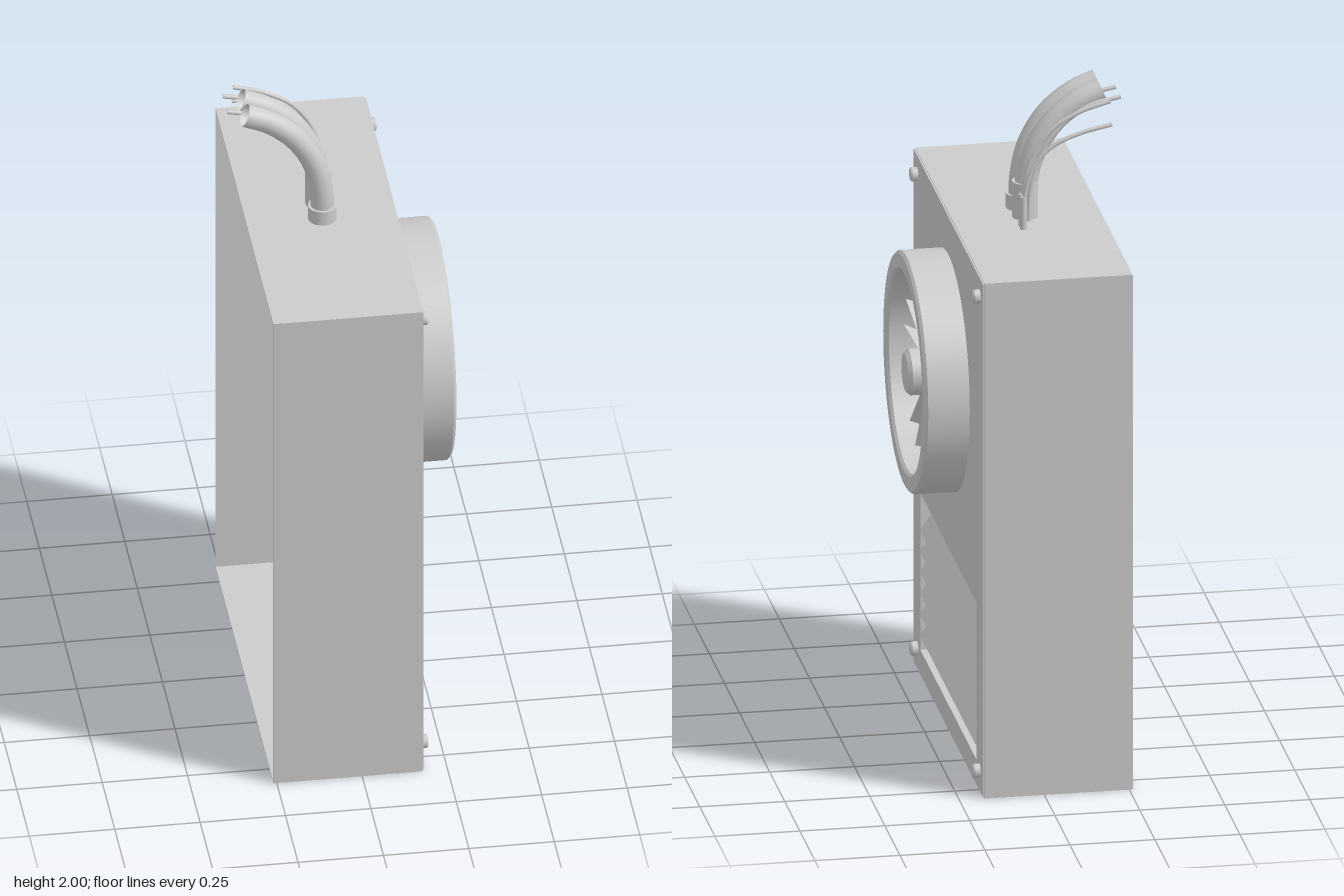
import * as THREE from 'three';

const grey = new THREE.MeshStandardMaterial({ color: 0xcccccc, side: THREE.DoubleSide });

function add(parent, name, geometry, x = 0, y = 0, z = 0) {
  const mesh = new THREE.Mesh(geometry, grey);
  mesh.name = name;
  mesh.position.set(x, y, z);
  parent.add(mesh);
  return mesh;
}

// Rectangle outline centred on z = 0, between two heights
function rect(Type, halfWidth, y0, y1) {
  const s = new Type();
  s.moveTo(-halfWidth, y0);
  s.lineTo(halfWidth, y0);
  s.lineTo(halfWidth, y1);
  s.lineTo(-halfWidth, y1);
  s.closePath();
  return s;
}

// Extrudes a shape along +x
const extrudeX = (shape, depth) =>
  new THREE.ExtrudeGeometry(shape, { depth, bevelEnabled: false, curveSegments: 48 }).rotateY(Math.PI / 2);

// Turns a [radius, x] profile around the x axis, with sharp corners between its segments
function turnX(parent, name, profile, segments, y, z = 0) {
  const group = new THREE.Group();
  group.name = name;
  for (let i = 0; i < profile.length - 1; i++) {
    const pts = [profile[i], profile[i + 1]].map(([r, x]) => new THREE.Vector2(r, x));
    add(group, name + 'Surface', new THREE.LatheGeometry(pts, segments).rotateZ(-Math.PI / 2));
  }
  group.position.set(0, y, z);
  parent.add(group);
}

function tube(parent, name, points, radius, z) {
  const curve = new THREE.CatmullRomCurve3(points.map(([x, y]) => new THREE.Vector3(x, y, z)));
  add(parent, name, new THREE.TubeGeometry(curve, 32, radius, radius > 0.02 ? 20 : 8));
}

export function createModel() {
  const model = new THREE.Group();
  model.name = 'ventilationUnit';
  const H = 1.59, W = 0.577, fanY = 1.115, face = 0.18;

  // Thin casing, open at the rear
  const frame = rect(THREE.Shape, W, 0, H);
  frame.holes.push(rect(THREE.Path, W - 0.004, 0.004, H - 0.004));
  add(model, 'casing', extrudeX(frame, 0.435), -0.26);

  // Front panel with fan and grille openings
  const panel = rect(THREE.Shape, W - 0.003, 0.003, H - 0.003);
  panel.holes.push(new THREE.Path().absarc(0, fanY, 0.35, 0, Math.PI * 2, true));
  panel.holes.push(rect(THREE.Path, 0.465, 0.08, 0.565));
  add(model, 'frontPanel', extrudeX(panel, 0.006), face - 0.006);

  // Corner screws
  for (const y of [0.065, 1.53]) {
    for (const z of [-0.517, 0.517]) {
      turnX(model, 'screw', [[0.021, 0.175], [0.021, 0.196], [0.017, 0.201], [0, 0.201]], 16, y, z);
    }
  }

  // Fan duct, closed by a disc part way back
  turnX(model, 'fanDuct', [
    [0.335, 0.14], [0.335, 0.075], [0.355, 0.075], [0.355, 0.302],
    [0.347, 0.31], [0.305, 0.31], [0.297, 0.302], [0.297, 0.14],
  ], 64, fanY);
  turnX(model, 'fanBackDisc', [[0.336, 0.14], [0, 0.14]], 64, fanY);
  turnX(model, 'fanHub', [[0.068, 0.14], [0.068, 0.296], [0.056, 0.308], [0, 0.308]], 32, fanY);

  // Pitched fan blades, widening outwards
  const blade = new THREE.PlaneGeometry(1, 1);
  const p = blade.attributes.position;
  for (let i = 0; i < 4; i++) {
    const side = Math.sign(p.getX(i)), tip = p.getY(i) > 0;
    p.setXYZ(i, 0.215 + side * (tip ? 0.05 : 0.025), tip ? 0.265 : 0.06, -side * (tip ? 0.026 : 0.011));
  }
  blade.computeVertexNormals();
  const fan = new THREE.Group();
  fan.name = 'fanBlades';
  fan.position.y = fanY;
  model.add(fan);
  for (let i = 0; i < 17; i++) {
    add(fan, 'blade', blade).rotation.x = (i / 17) * Math.PI * 2;
  }

  // Grille housing: a box behind the panel, open towards the front
  const sleeve = rect(THREE.Shape, 0.467, 0.075, 0.568);
  sleeve.holes.push(rect(THREE.Path, 0.463, 0.08, 0.563));
  add(model, 'grilleHousing', extrudeX(sleeve, 0.225), -0.05);
  add(model, 'grilleHousingBack', new THREE.BoxGeometry(0.004, 0.493, 0.934), -0.05, 0.3215, 0);

  // Sloping louvre slats
  for (const y of [0.45, 0.385, 0.32, 0.255, 0.19, 0.125]) {
    const slat = add(model, 'louvreSlat', new THREE.BoxGeometry(0.005, 0.125, 0.926), 0.143, y + 0.05, 0);
    slat.rotation.z = Math.atan2(0.075, 0.1);
  }

  // Two bent hoses with collars
  const bend = [[-0.038, 1.58], [-0.04, 1.68], [-0.062, 1.78], [-0.115, 1.87], [-0.19, 1.933], [-0.265, 1.966]];
  for (const [z, r, h] of [[0.04, 0.042, 0.045], [-0.04, 0.038, 0.11]]) {
    tube(model, 'hose', bend, 0.034, z);
    add(model, 'hoseCollar', new THREE.CylinderGeometry(r, r, h, 24), -0.038, H + h / 2, z);
  }

  // Thin wires beside the hoses
  const upper = [[-0.04, 1.58], [-0.048, 1.70], [-0.08, 1.80], [-0.14, 1.88], [-0.22, 1.935], [-0.312, 1.957]];
  const high = [[-0.015, 1.58], [-0.02, 1.70], [-0.045, 1.80], [-0.1, 1.88], [-0.18, 1.93], [-0.275, 1.96]];
  const low = [[-0.015, 1.58], [-0.02, 1.70], [-0.045, 1.78], [-0.1, 1.84], [-0.18, 1.875], [-0.275, 1.897]];
  for (const [path, z] of [[upper, 0], [upper, -0.083], [high, -0.122], [low, -0.147]]) {
    tube(model, 'wire', path, 0.007, z);
  }
  for (const z of [-0.122, -0.147]) {
    add(model, 'wireSleeve', new THREE.CylinderGeometry(0.01, 0.01, 0.1, 10), -0.015, H + 0.05, z);
  }
  return model;
}
